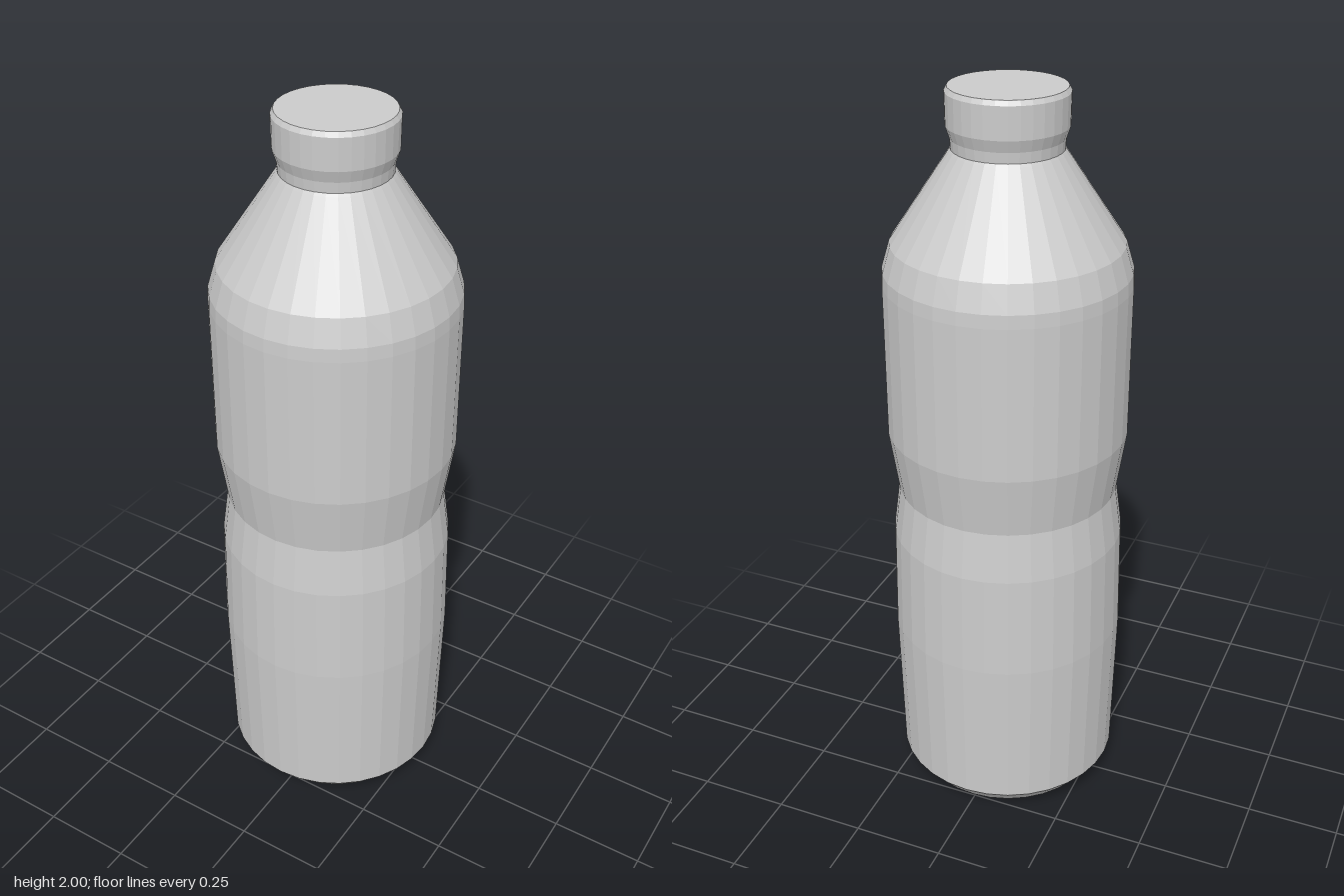
import * as THREE from 'three';

const SIDES = 32;

// Faceted solid of revolution from [radius, height] pairs, bottom to top
function turned(name, profile) {
  const points = profile.map(([r, y]) => new THREE.Vector2(r, y));
  const mesh = new THREE.Mesh(
    new THREE.LatheGeometry(points, SIDES),
    new THREE.MeshStandardMaterial({ color: 0xcccccc, flatShading: true })
  );
  mesh.name = name;
  return mesh;
}

export function createModel() {
  const bottle = new THREE.Group();
  bottle.name = 'bottle';

  // Base with bevelled foot
  bottle.add(turned('base', [[0, 0], [0.2, 0], [0.265, 0.018], [0.308, 0.07]]));

  // Lower body, pinched waist and upper body
  bottle.add(turned('body', [
    [0.308, 0.07], [0.318, 0.505], [0.313, 0.795], [0.295, 0.93],
    [0.32, 1.1], [0.32, 1.51], [0.318, 1.545],
  ]));

  // Shoulder tapering to the neck
  bottle.add(turned('shoulder', [[0.318, 1.545], [0.297, 1.615], [0.145, 1.843]]));

  // Narrow neck ring flaring up to the cap
  bottle.add(turned('neck', [[0.145, 1.843], [0.14, 1.85], [0.142, 1.877], [0.152, 1.907]]));

  // Cap with a small bevel round the flat top
  bottle.add(turned('cap', [[0.152, 1.907], [0.153, 1.988], [0.146, 2], [0, 2]]));

  return bottle;
}
